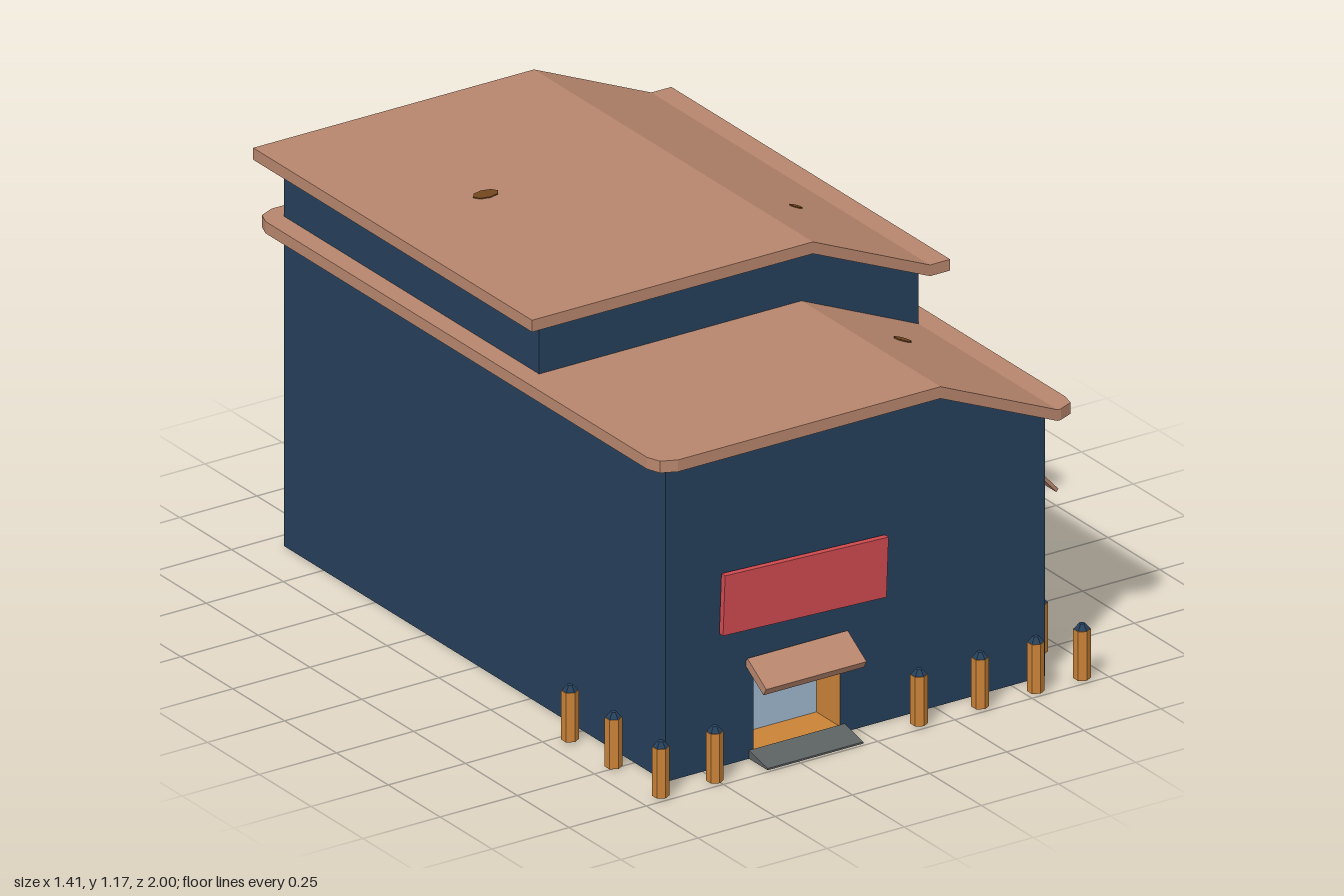
import * as THREE from 'three';

const mat = (name, color, side = THREE.FrontSide) => {
  const m = new THREE.MeshStandardMaterial({ color, side });
  m.name = name;
  return m;
};

export function createModel() {
  const navy = mat('navy wall', 0x26405b), clay = mat('clay roof', 0xb8866d), wood = mat('orange wood', 0xc98237);
  const red = mat('red sign', 0xcf4a4f), glass = mat('blue glass', 0x9fb9d0), pane = mat('grey pane', 0xa3a2a3);
  const metal = mat('dark grey metal', 0x5c6162), stain = mat('brown stain', 0x74471f);
  const root = new THREE.Group();
  root.name = 'building';

  const add = (parent, name, geo, material, x = 0, y = 0, z = 0) => {
    const m = new THREE.Mesh(geo, material);
    m.name = name;
    m.position.set(x, y, z);
    parent.add(m);
    return m;
  };
  const box = (parent, name, material, w, h, d, x, y, z) =>
    add(parent, name, new THREE.BoxGeometry(w, h, d), material, x, y, z);
  const poly = (pts) => new THREE.Shape(pts.map(([x, y]) => new THREE.Vector2(x, y)));
  const rect = (x0, y0, x1, y1) => poly([[x0, y0], [x1, y0], [x1, y1], [x0, y1]]);
  const withHoles = (shape, holes) => { shape.holes.push(...holes.map((h) => rect(...h))); return shape; };
  const group = (name, x = 0, ry = 0) => {
    const g = new THREE.Group();
    g.name = name;
    g.position.x = x;
    g.rotation.y = ry;
    root.add(g);
    return g;
  };
  // Rectangular ring around opening r, reaching from z0 to z1
  const ring = (parent, name, material, r, b, z0, z1) => add(parent, name, new THREE.ExtrudeGeometry(
    withHoles(rect(r[0] - b, r[1] - b, r[2] + b, r[3] + b), [r]),
    { depth: z1 - z0, bevelEnabled: false }), material, 0, 0, z0);

  // Walls: side groups use u = -z on the right and u = z on the left
  const right = group('rightSide', 0.61, Math.PI / 2);
  const left = group('leftSide', -0.62, -Math.PI / 2);
  const gable = (base, lift, flip = 1) => {
    const p = [[-0.62, base], [0.61, base], [0.61, 0.79 + lift], [0.23, 0.955 + lift], [-0.62, 0.955 + lift]];
    return poly(p.map(([x, y]) => [x * flip, y]));
  };
  const door = [-0.335, 0.02, -0.055, 0.25];
  const windowSpans = [[-0.865, -0.325], [-0.26, 0.295], [0.36, 0.905]];
  const openings = windowSpans.map(([a, b]) => [a + 0.03, 0.36, b - 0.03, 0.505]);
  const skylight = [-0.24, 0.835, 0.9, 0.94];

  add(root, 'frontWall', new THREE.ShapeGeometry(withHoles(gable(0, 0), [door])), navy, 0, 0, 0.9);
  add(root, 'upperFrontWall', new THREE.ShapeGeometry(gable(0.72, 0.195)), navy, 0, 0, 0.29);
  add(root, 'backWall', new THREE.ShapeGeometry(gable(0, 0.195, -1)), navy, 0, 0, -0.94).rotation.y = Math.PI;
  add(right, 'rightWall', new THREE.ShapeGeometry(withHoles(rect(-0.9, 0, 0.94, 0.79), openings)), navy);
  add(right, 'upperRightWall',
    new THREE.ShapeGeometry(withHoles(rect(-0.29, 0.79, 0.94, 0.985), [skylight])), navy);
  add(left, 'leftWall', new THREE.ShapeGeometry(rect(-0.94, 0, 0.9, 0.955)), navy);
  add(left, 'upperLeftWall', new THREE.ShapeGeometry(rect(-0.94, 0.955, 0.29, 1.15)), navy);
  add(root, 'floor', new THREE.PlaneGeometry(1.23, 1.84), navy, -0.005, 0, -0.02).rotation.x = Math.PI / 2;

  // Roofs: one bent profile run along z, with clipped corners on the lower roof
  const roof = (name, lift, zs, limits) => {
    const profile = [[-0.68, 0.94], [0.23, 0.94], [0.61, 0.777], [0.675, 0.777],
      [0.675, 0.81], [0.61, 0.81], [0.23, 0.975], [-0.68, 0.975]];
    const n = zs.length - 1;
    const geo = new THREE.ExtrudeGeometry(poly(profile), { depth: n, steps: n, bevelEnabled: false });
    const p = geo.attributes.position;
    for (let i = 0; i < p.count; i++) {
      const k = Math.round(p.getZ(i));
      p.setXYZ(i, THREE.MathUtils.clamp(p.getX(i), -limits[k], limits[k]), p.getY(i) + lift, zs[k]);
    }
    geo.computeVertexNormals();
    add(root, name, geo, clay);
  };
  roof('lowerRoof', 0, [-1, -0.98, -0.94, 0.9, 0.94, 0.96], [0.62, 0.665, 0.68, 0.68, 0.665, 0.62]);
  roof('upperRoof', 0.195, [-1, 0.345], [0.68, 0.68]);

  // Small stains lying on the roofs
  const slope = -Math.atan2(0.165, 0.38);
  [[-0.33, 1.171, -0.4, 0.04, 0], [0.42, 1.088, -0.02, 0.022, slope], [0.41, 0.898, 0.51, 0.03, slope]]
    .forEach(([x, y, z, r, tilt]) => {
      const s = add(root, 'roofStain', new THREE.CylinderGeometry(r, r, 0.004, 8), stain, x, y, z);
      s.scale.z = 0.6;
      s.rotation.z = tilt;
    });

  // Long upper window
  ring(right, 'upperWindowReveal', navy, skylight, 0.01, -0.03, -0.001);
  box(right, 'upperWindowPane', pane, 1.16, 0.12, 0.005, 0.33, 0.8875, -0.03);

  // Side windows with bars, transom and sloping awning
  windowSpans.forEach(([a, b], i) => {
    const r = openings[i], w = r[2] - r[0], h = r[3] - r[1], cx = (a + b) / 2, cy = (r[1] + r[3]) / 2;
    ring(right, 'windowReveal', wood, r, 0.012, -0.08, -0.001);
    ring(right, 'windowTrim', wood, r, 0.028, 0, 0.006);
    box(right, 'windowPane', pane, w, h, 0.005, cx, cy, -0.08);
    for (let k = 0; k <= 5; k++) {
      box(right, 'windowBar', metal, 0.014, h, 0.01, r[0] + 0.007 + (w - 0.014) * k / 5, cy, -0.01);
    }
    for (let k = 0; k <= 2; k++) {
      box(right, 'windowCrossbar', metal, w, 0.014, 0.01, cx, r[1] + 0.007 + (h - 0.014) * k / 2, -0.01);
    }
    box(right, 'transomPanel', metal, b - a - 0.01, 0.045, 0.006, cx, 0.556, 0.003);
    const awning = new THREE.ExtrudeGeometry(
      poly([[0.61, 0.582], [0.67, 0.515], [0.676, 0.524], [0.61, 0.596]]),
      { depth: b - a, bevelEnabled: false });
    add(root, 'windowAwning', awning, clay, 0, 0, -b);
  });

  // Entrance: recess, glass door, awning and ramp
  ring(root, 'doorReveal', wood, door, 0.015, 0.78, 0.899);
  box(root, 'glassDoor', glass, 0.28, 0.23, 0.006, -0.195, 0.135, 0.783);
  box(root, 'doorAwning', clay, 0.325, 0.026, 0.108, -0.1975, 0.262, 0.946).rotation.x = 0.56;
  const ramp = new THREE.ExtrudeGeometry(poly([[-0.99, 0], [-0.9, 0], [-0.9, 0.025], [-0.99, 0.005]]),
    { depth: 0.31, bevelEnabled: false });
  add(root, 'entranceRamp', ramp, metal, -0.35).rotation.y = Math.PI / 2;

  // Slightly crooked sign
  box(root, 'sign', red, 0.53, 0.176, 0.018, -0.1825, 0.476, 0.916).rotation.z = -0.038;

  // Six-sided bollards with dark caps
  const post = new THREE.CylinderGeometry(0.024, 0.024, 0.145, 6).toNonIndexed();
  const cap = new THREE.CylinderGeometry(0.009, 0.023, 0.017, 6).toNonIndexed();
  [post, cap].forEach((g) => g.computeVertexNormals());
  [[-0.685, 0.973], [-0.51, 0.973], [0.152, 0.973], [0.35, 0.973], [0.53, 0.973], [0.68, 0.973],
    [-0.685, 0.745], [-0.685, 0.535], [0.68, 0.767], [0.68, 0.57]].forEach(([x, z]) => {
    add(root, 'bollardPost', post, wood, x, 0.0775, z);
    add(root, 'bollardCap', cap, navy, x, 0.158, z);
  });
  return root;
}
